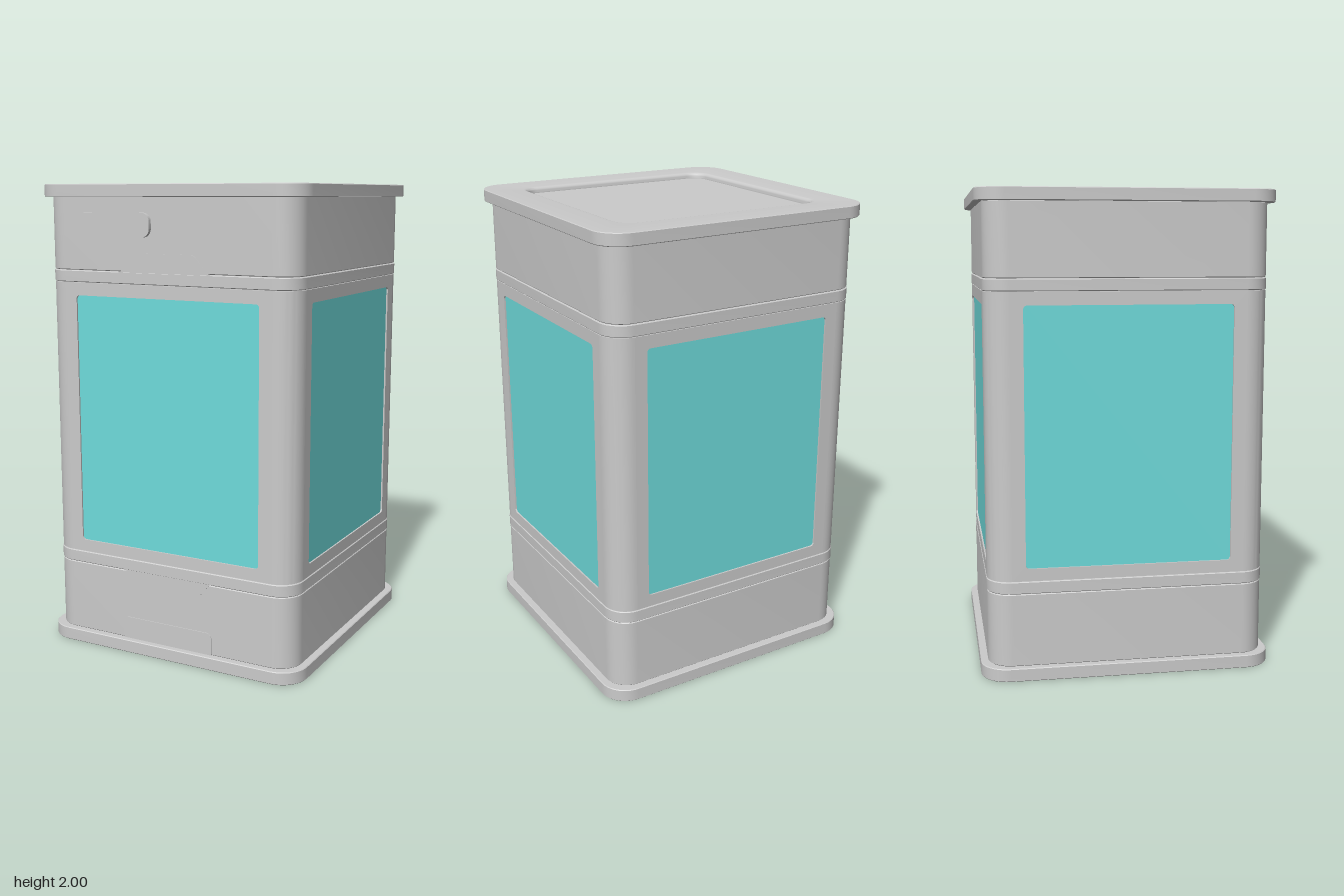
import * as THREE from 'three';
import { toCreasedNormals } from 'three/addons/utils/BufferGeometryUtils.js';

const grey = new THREE.MeshStandardMaterial({ color: 0xcccccc });
const teal = new THREE.MeshStandardMaterial({ color: 0x6fdcdc });

// Stack of rounded squares; each profile entry is [half width, corner radius, y]
function loft(profile, steps = 10) {
  const rings = profile.map(([h, r, y]) => {
    const ring = [];
    for (let q = 0; q < 4; q++) {
      for (let i = 0; i <= steps; i++) {
        const mid = (q + 0.5) * Math.PI / 2;
        const a = (q + i / steps) * Math.PI / 2;
        ring.push([
          Math.sign(Math.cos(mid)) * (h - r) + Math.cos(a) * r, y,
          Math.sign(Math.sin(mid)) * (h - r) + Math.sin(a) * r,
        ]);
      }
    }
    return ring;
  });
  const pos = [];
  for (let j = 0; j < rings.length - 1; j++) {
    const a = rings[j], b = rings[j + 1], n = a.length;
    for (let i = 0; i < n; i++) {
      const k = (i + 1) % n;
      if (profile[j + 1][0] > 0) pos.push(...a[i], ...b[i], ...b[k]);
      if (profile[j][0] > 0) pos.push(...a[i], ...b[k], ...a[k]);
    }
  }
  const g = new THREE.BufferGeometry();
  g.setAttribute('position', new THREE.Float32BufferAttribute(pos, 3));
  return toCreasedNormals(g, 0.6);
}

// Rectangle with separate radii for its top and bottom corners
function roundRect(Type, x0, x1, y0, y1, rt, rb = rt) {
  const s = new Type();
  s.moveTo(x0 + rb, y0);
  s.lineTo(x1 - rb, y0);
  if (rb) s.absarc(x1 - rb, y0 + rb, rb, -Math.PI / 2, 0);
  s.lineTo(x1, y1 - rt);
  if (rt) s.absarc(x1 - rt, y1 - rt, rt, 0, Math.PI / 2);
  s.lineTo(x0 + rt, y1);
  if (rt) s.absarc(x0 + rt, y1 - rt, rt, Math.PI / 2, Math.PI);
  s.lineTo(x0, y0 + rb);
  if (rb) s.absarc(x0 + rb, y0 + rb, rb, Math.PI, Math.PI * 1.5);
  return s;
}

// Plate lying between two z depths
function plate(shape, z0, z1) {
  const g = new THREE.ExtrudeGeometry(shape, { depth: z1 - z0, bevelEnabled: false, curveSegments: 8 });
  g.translate(0, 0, z0);
  return toCreasedNormals(g, 0.6);
}

export function createModel() {
  const model = new THREE.Group();
  const add = (name, geometry, material = grey, parent = model) => {
    const mesh = new THREE.Mesh(geometry, material);
    mesh.name = name;
    parent.add(mesh);
    return mesh;
  };

  const BODY = 0.585, FLAT = 0.485, MID0 = 0.416, MID1 = 1.594;
  const at = (h, y) => [h, h - FLAT, y];
  const block = (h, y0, y1, e = 0.003) => loft([
    [0, 0, y0], at(h - e, y0), at(h, y0 + e), at(h, y1 - e), at(h - e, y1), [0, 0, y1],
  ]);

  // Base flange
  add('baseFlange', loft([
    [0, 0, 0], [0.612, 0.112, 0], [0.615, 0.115, 0.003],
    [0.615, 0.115, 0.052], [0.612, 0.112, 0.055], [0, 0, 0.055],
  ]));

  // Lid with a shallow tray whose rim rolls inwards
  const lid = [[0, 0, 1.948], [0.612, 0.112, 1.948], [0.615, 0.115, 1.951], [0.615, 0.115, 1.997], [0.612, 0.112, 2]];
  for (let i = 0; i <= 5; i++) {
    const a = i / 5 * Math.PI / 2;
    const h = 0.475 - 0.02 * Math.sin(a);
    lid.push([h, h - 0.39, 1.98 + 0.02 * Math.cos(a)]);
  }
  lid.push([0.455, 0.065, 1.975], [0, 0, 1.975]);
  add('lid', loft(lid));

  // Inner core seen at the seams and behind the windows
  add('core', block(0.572, 0.05, 1.955, 0.001));

  // Lower and upper housings, with a narrow band next to each
  add('lowerHousing', block(BODY, 0.055, 0.361));
  add('lowerBand', block(BODY + 0.002, 0.363, 0.414));
  add('upperBand', block(BODY + 0.002, 1.596, 1.645));
  add('upperHousing', block(BODY, 1.647, 1.95));

  // Four sides of the middle: frame, rounded corner post and window
  const frame = roundRect(THREE.Shape, -FLAT, FLAT, MID0, MID1, 0);
  frame.holes.push(roundRect(THREE.Path, -0.43, 0.43, 0.468, 1.54, 0.015));
  const frameGeo = plate(frame, 0.565, BODY);
  const windowGeo = plate(roundRect(THREE.Shape, -0.43, 0.43, 0.468, 1.54, 0.015), 0.565, 0.578);
  const corner = new THREE.Shape();
  corner.moveTo(FLAT, FLAT);
  corner.absarc(FLAT, FLAT, BODY - FLAT, 0, Math.PI / 2);
  corner.lineTo(FLAT, FLAT);
  const cornerGeo = plate(corner, MID0, MID1);
  cornerGeo.rotateX(-Math.PI / 2);
  for (let i = 0; i < 4; i++) {
    const side = new THREE.Group();
    side.name = 'windowSide' + (i + 1);
    side.rotation.y = i * Math.PI / 2;
    add('frame', frameGeo, grey, side);
    add('window', windowGeo, teal, side);
    add('cornerPost', cornerGeo, grey, side);
    model.add(side);
  }

  // Tapered tongues that run from the bands into the front housings
  for (const [name, y0, y1] of [['upperTongue', 1.643, 1.722], ['lowerTongue', 0.365, 0.286]]) {
    const d = Math.sign(y1 - y0) * 0.012;
    const s = new THREE.Shape();
    s.moveTo(-0.218, y0);
    s.lineTo(0.218, y0);
    s.quadraticCurveTo(0.207, y0, 0.197, y0 + d);
    s.lineTo(0.15, y1 - d);
    s.quadraticCurveTo(0.139, y1, 0.125, y1);
    s.lineTo(-0.125, y1);
    s.quadraticCurveTo(-0.139, y1, -0.15, y1 - d);
    s.lineTo(-0.197, y0 + d);
    s.quadraticCurveTo(-0.207, y0, -0.218, y0);
    add(name, plate(s, 0.57, BODY + 0.002));
  }

  // Raised badge plate and bottom latch on the front
  add('badgePlate', plate(roundRect(THREE.Shape, -0.416, -0.057, 1.787, 1.885, 0.035), 0.575, 0.601));
  add('latch', plate(roundRect(THREE.Shape, -0.218, 0.214, 0.055, 0.151, 0.025, 0), 0.575, 0.589));

  return model;
}
